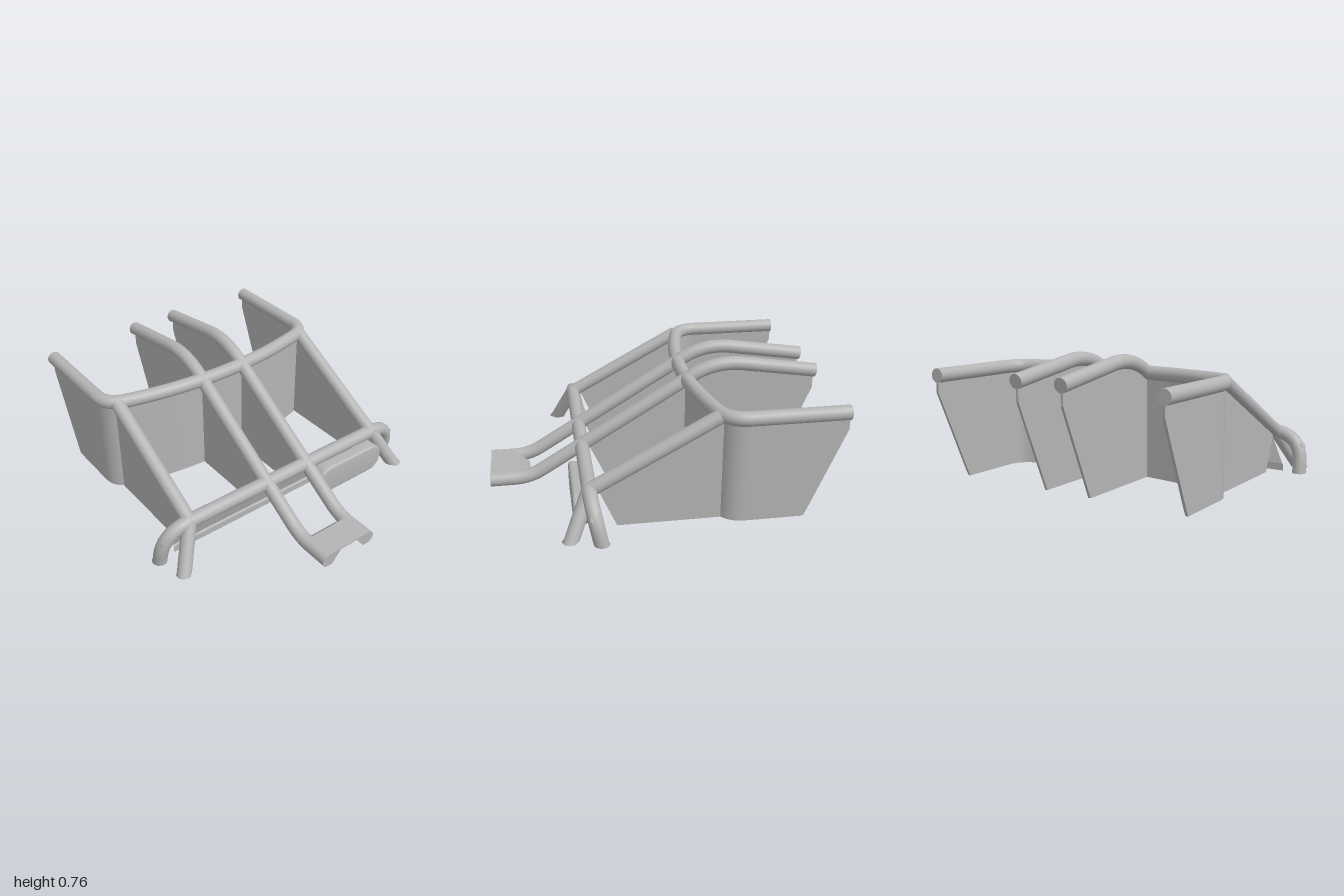
import * as THREE from 'three';
import { toCreasedNormals } from 'three/addons/utils/BufferGeometryUtils.js';

const R = 0.042;
const V = (x, y, z) => new THREE.Vector3(x, y, z);

// Path through waypoints [x, y, z, cut]; corners are rounded off by "cut"
function bentPath(points) {
  const path = new THREE.CurvePath();
  let last = V(...points[0].slice(0, 3));
  for (let i = 1; i < points.length; i++) {
    const p = V(...points[i].slice(0, 3));
    const cut = points[i][3] || 0;
    if (i === points.length - 1 || !cut) {
      path.add(new THREE.LineCurve3(last, p));
      last = p;
      continue;
    }
    const next = V(...points[i + 1].slice(0, 3));
    const a = p.clone().add(last.clone().sub(p).setLength(cut));
    const b = p.clone().add(next.sub(p).setLength(cut));
    path.add(new THREE.LineCurve3(last, a));
    path.add(new THREE.QuadraticBezierCurve3(a, p, b));
    last = b;
  }
  return path;
}

// Keep everything above the ground so feet are cut flat
function trimAtGround(geometry) {
  const pos = geometry.attributes.position;
  for (let i = 0; i < pos.count; i++) pos.setY(i, Math.max(0, pos.getY(i)));
  return geometry;
}

export function createModel() {
  const model = new THREE.Group();
  model.name = 'tubularFrame';
  const steel = new THREE.MeshStandardMaterial({ color: 0xb4b4b4 });
  const sheet = new THREE.MeshStandardMaterial({ color: 0xb4b4b4, side: THREE.DoubleSide });
  steel.name = 'greySteel';
  sheet.name = 'greySheet';

  const add = (name, geometry, material = steel) => {
    const mesh = new THREE.Mesh(geometry, material);
    mesh.name = name;
    model.add(mesh);
    return mesh;
  };

  // Round pipe with flat end caps
  const pipe = (name, path, segments = 80) => {
    add(name, trimAtGround(new THREE.TubeGeometry(path, segments, R, 24)));
    for (const [t, sign] of [[0, -1], [1, 1]]) {
      const dir = path.getTangentAt(t).multiplyScalar(sign);
      const cap = new THREE.CircleGeometry(R, 24);
      cap.applyQuaternion(new THREE.Quaternion().setFromUnitVectors(V(0, 0, 1), dir));
      const p = path.getPointAt(t);
      cap.translate(p.x, p.y, p.z);
      add(name + 'Cap', trimAtGround(cap));
    }
  };

  // Upper hoop: straight arms, tight corners, gently bowed front
  const hoop = new THREE.CurvePath();
  hoop.add(new THREE.LineCurve3(V(-0.76, 0.63, -0.99), V(-0.76, 0.63, -0.43)));
  hoop.add(new THREE.QuadraticBezierCurve3(V(-0.76, 0.63, -0.43), V(-0.76, 0.63, -0.312), V(-0.64, 0.63, -0.281)));
  hoop.add(new THREE.QuadraticBezierCurve3(V(-0.64, 0.63, -0.281), V(0, 0.63, -0.113), V(0.64, 0.63, -0.281)));
  hoop.add(new THREE.QuadraticBezierCurve3(V(0.64, 0.63, -0.281), V(0.76, 0.63, -0.312), V(0.76, 0.63, -0.43)));
  hoop.add(new THREE.LineCurve3(V(0.76, 0.63, -0.43), V(0.76, 0.63, -0.99)));
  pipe('upperHoop', hoop, 140);

  // Skirt wall hanging below the hoop, cut at a slant at the rear
  const N = 140, T = 0.008, verts = [], faces = [];
  for (let i = 0; i <= N; i++) {
    const p = hoop.getPointAt(i / N), t = hoop.getTangentAt(i / N);
    const bottom = Math.max(0, (-0.77 - p.z) * 2.41);
    for (const [s, y] of [[1, bottom], [1, 0.62], [-1, 0.62], [-1, bottom]])
      verts.push(p.x + t.z * T * s, y, p.z - t.x * T * s);
    if (i === N) break;
    for (let k = 0; k < 4; k++) {
      const a = i * 4 + k, b = i * 4 + (k + 1) % 4;
      faces.push(a, b, a + 4, b, b + 4, a + 4);
    }
  }
  faces.push(0, 2, 1, 0, 3, 2, N * 4, N * 4 + 1, N * 4 + 2, N * 4, N * 4 + 2, N * 4 + 3);
  const wall = new THREE.BufferGeometry();
  wall.setAttribute('position', new THREE.Float32BufferAttribute(verts, 3));
  wall.setIndex(faces);
  add('skirtWall', toCreasedNormals(wall, 0.5), sheet);

  // Upright plate from a [z, y] outline, centred on x
  const fin = (name, x, outline) => {
    const shape = new THREE.Shape(outline.map(([z, y]) => new THREE.Vector2(-z, y)));
    const g = new THREE.ExtrudeGeometry(shape, { depth: 0.016, bevelEnabled: false });
    g.translate(0, 0, -0.008);
    g.rotateY(Math.PI / 2);
    g.translate(x, 0, 0);
    add(name, g);
  };

  for (const s of [-1, 1]) {
    const side = s > 0 ? 'left' : 'right';
    // Centre rails and their fins
    pipe(side + 'CentreRail', bentPath([
      [s * 0.152, 0.042, 1], [s * 0.152, 0.042, 0.765, 0.09],
      [s * 0.152, 0.735, -0.375, 0.17], [s * 0.152, 0.64, -1]]));
    fin(side + 'CentreFin', s * 0.152, [[0.39, 0.22], [0.29, 0], [-0.77, 0],
      [-0.99, 0.53], [-0.99, 0.63], [-0.45, 0.7], [-0.3, 0.66]]);
    // Outer rails and their fins
    pipe(side + 'OuterRail', bentPath([[s * 0.7, 0.235, 0.44], [s * 0.7, 0.63, -0.285]]), 4);
    fin(side + 'OuterFin', s * 0.7, [[0.385, 0.22], [0.29, 0], [-0.3, 0], [-0.3, 0.62], [-0.27, 0.62]]);
    // Splayed front leg
    pipe(side + 'FrontLeg', bentPath([[s * 0.7, 0.24, 0.44], [s * 0.835, -0.03, 0.565]]), 30);
    // Round plate on the outside of the crossbar bend
    const plate = new THREE.CylinderGeometry(0.026, 0.026, 0.012, 20);
    plate.rotateZ(-s * 1.1);
    plate.translate(s * 0.885, 0.165, 0.425);
    add(side + 'BendPlate', plate);
  }

  // Front crossbar, its ends swept down to the ground
  pipe('frontCrossbar', bentPath([
    [-0.882, -0.03, 0.388], [-0.875, 0.235, 0.44, 0.195],
    [0.875, 0.235, 0.44, 0.195], [0.882, -0.03, 0.388]]), 160);

  // Open sheet from rows of [halfWidth, y, z]
  const strip = (name, rows) => {
    const v = [], f = [];
    rows.forEach(([w, y, z], i) => {
      v.push(-w, y, z, w, y, z);
      if (i) f.push(2 * i - 2, 2 * i, 2 * i - 1, 2 * i - 1, 2 * i, 2 * i + 1);
    });
    const g = new THREE.BufferGeometry();
    g.setAttribute('position', new THREE.Float32BufferAttribute(v, 3));
    g.setIndex(f);
    add(name, toCreasedNormals(g, 0.2), sheet);
  };
  strip('underCrossbarPlate', [[0.68, 0.22, 0.425], [0.78, 0.045, 0.372]]);
  strip('underCrossbarLip', [[0.78, 0.045, 0.372], [0.78, 0.04, 0.385], [0.78, 0, 0.385]]);

  // Nose bracket between the centre rails, notched below, with a sloping back
  const nose = new THREE.Shape([[-0.152, 0.084], [-0.152, 0], [-0.12, 0], [-0.06, 0.075],
    [0.06, 0.075], [0.12, 0], [0.152, 0], [0.152, 0.084]].map(p => new THREE.Vector2(...p)));
  const noseGeo = new THREE.ExtrudeGeometry(nose, { depth: 0.169, bevelEnabled: false });
  noseGeo.translate(0, 0, 0.83);
  add('noseBracket', noseGeo);
  strip('noseBackPlate', [[0.13, 0.08, 0.832], [0.13, 0.002, 0.76]]);

  // Rounded step on the left side, with bevelled edges
  const x0 = 0.215, x1 = 0.71, y0 = 0.015, y1 = 0.175, r = 0.075;
  const step = new THREE.Shape();
  step.absarc(x1 - r, y0 + r, r, -Math.PI / 2, 0);
  step.absarc(x1 - r, y1 - r, r, 0, Math.PI / 2);
  step.absarc(x0 + r, y1 - r, r, Math.PI / 2, Math.PI);
  step.absarc(x0 + r, y0 + r, r, Math.PI, Math.PI * 1.5);
  const stepGeo = new THREE.ExtrudeGeometry(step, {
    depth: 0.085, bevelThickness: 0.015, bevelSize: 0.015, bevelSegments: 3, curveSegments: 12 });
  stepGeo.translate(0, 0, 0.43);
  add('sideStep', toCreasedNormals(stepGeo, 0.6));

  return model;
}
